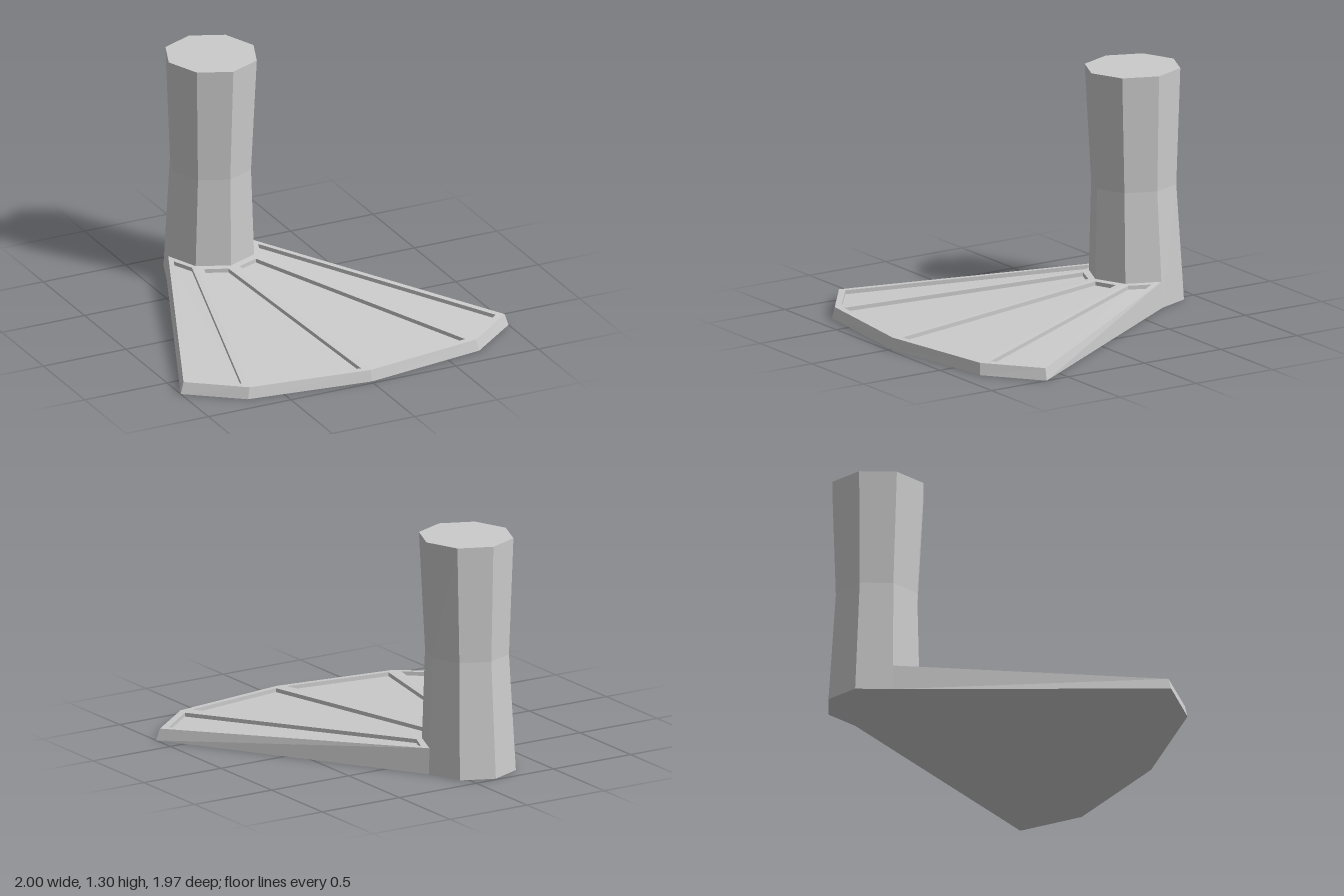
import * as THREE from 'three';

const V = (x, y, z) => new THREE.Vector3(x, y, z);
const lerp = (a, b, t) => a.clone().lerp(b, t);

// Collects flat polygons, corners counter-clockwise from outside
function faceted(name, build) {
  const pts = [];
  const poly = (...c) => {
    for (let i = 1; i < c.length - 1; i++) pts.push(c[0], c[i], c[i + 1]);
  };
  build(poly);
  const geometry = new THREE.BufferGeometry().setFromPoints(pts);
  geometry.computeVertexNormals();
  const mesh = new THREE.Mesh(geometry, new THREE.MeshStandardMaterial({ color: 0xcccccc, flatShading: true }));
  mesh.name = name;
  return mesh;
}

// Octagonal ring, starting on the -x side and passing through the front
function ring(y, cz, rx, rz) {
  return Array.from({ length: 8 }, (_, k) => {
    const t = (k - 2) * Math.PI / 4;
    return V(-0.136 + rx * Math.sin(t), y, cz + rz * Math.cos(t));
  });
}

export function createModel() {
  const group = new THREE.Group();
  const rings = [
    ring(0, -0.715, 0.257, 0.27),
    ring(0.65, -0.70, 0.2275, 0.24),
    ring(1.305, -0.692, 0.257, 0.269),
  ];

  // Waisted octagonal leg
  group.add(faceted('leg', (poly) => {
    for (let j = 0; j < 2; j++) {
      const lo = rings[j], hi = rings[j + 1];
      for (let k = 0; k < 8; k++) {
        const n = (k + 1) % 8;
        poly(lo[k], lo[n], hi[n], hi[k]);
      }
    }
    poly(...rings[2]);
  }));

  // Fan outline: toe tips at the ground and at the upper rim, and the ankle
  const tips = [[-1, 0.665], [-0.705, 0.89], [0, 0.98], [0.705, 0.875], [1, 0.64]];
  const tipLow = tips.map(([x, z]) => V(x, 0, z));
  const tipTop = tips.map(([x, z]) => V(x * 0.98, 0.065, z * 0.99));
  const ankle = rings[0].slice(0, 5).map((p, k) => lerp(p, rings[1][k], 0.145 / 0.65));
  const border = 0.037, depth = 0.022;

  group.add(faceted('webbedFoot', (poly) => {
    // Outer walls and sole
    const low = [rings[0][0], ...tipLow, rings[0][4]];
    const high = [ankle[0], ...tipTop, ankle[4]];
    for (let i = 0; i < 6; i++) poly(low[i], low[i + 1], high[i + 1], high[i]);
    poly(...[...tipLow, ...rings[0].slice(4), rings[0][0]].reverse());

    // Four webs, each a sunken panel inside a raised border
    for (let i = 0; i < 4; i++) {
      const outer = [ankle[i], tipTop[i], tipTop[i + 1], ankle[i + 1]];
      const corner = (v, side) => {
        const a = lerp(outer[0], outer[1], v), b = lerp(outer[3], outer[2], v);
        const u = border / a.distanceTo(b);
        return lerp(a, b, side ? 1 - u : u);
      };
      const inner = [corner(0.028, 0), corner(0.975, 0), corner(0.975, 1), corner(0.028, 1)];
      const sunk = inner.map((p) => V(p.x, p.y - depth, p.z));
      for (let k = 0; k < 4; k++) {
        const n = (k + 1) % 4;
        poly(outer[k], outer[n], inner[n], inner[k]);
        poly(sunk[k], inner[k], inner[n], sunk[n]);
      }
      poly(...sunk);
    }
  }));
  return group;
}
